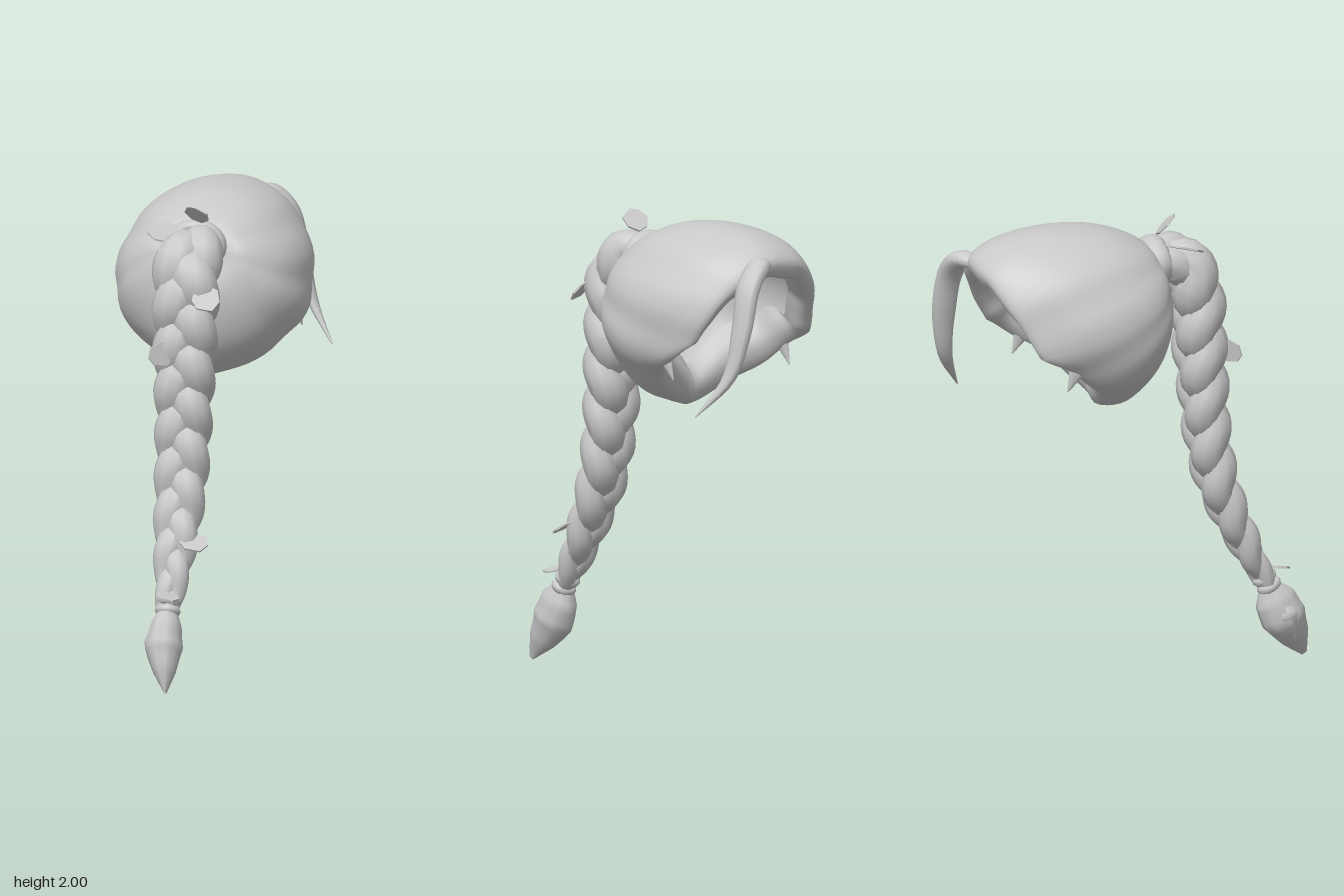
import * as THREE from 'three';

const V = (x, y, z) => new THREE.Vector3(x, y, z);
const hair = new THREE.MeshStandardMaterial({ color: 0xc8c8c8, side: THREE.DoubleSide });
hair.name = 'pale grey hair';

function mesh(name, geometry) {
  const m = new THREE.Mesh(geometry, hair);
  m.name = name;
  return m;
}

// Skin a list of closed rings, each holding the same number of points
function skin(rings) {
  const n = rings[0].length, pos = [], index = [];
  rings.forEach((r) => r.forEach((p) => pos.push(p.x, p.y, p.z)));
  for (let i = 0; i < rings.length - 1; i++) {
    for (let j = 0; j < n; j++) {
      const k = (j + 1) % n;
      const a = i * n + j, b = i * n + k, c = a + n, d = b + n;
      index.push(a, b, c, b, d, c);
    }
  }
  const g = new THREE.BufferGeometry();
  g.setAttribute('position', new THREE.Float32BufferAttribute(pos, 3));
  g.setIndex(index);
  g.computeVertexNormals();
  return g;
}

// Linear lookup in evenly spaced values
function at(list, u) {
  const f = Math.min(u * (list.length - 1), list.length - 1.0001), i = Math.floor(f);
  return THREE.MathUtils.lerp(list[i], list[i + 1], f - i);
}

// Tapered tube: width along the axis "across", depth perpendicular to it
function lock(points, widths, depths, across = V(1, 0, 0), steps = 20, sides = 10) {
  const curve = new THREE.CatmullRomCurve3(points), rings = [];
  for (let i = 0; i <= steps; i++) {
    const u = i / steps, c = curve.getPoint(u), t = curve.getTangent(u);
    const a = across.clone().addScaledVector(t, -across.dot(t)).normalize();
    const b = t.clone().cross(a);
    const ring = [];
    for (let j = 0; j < sides; j++) {
      const q = (j / sides) * Math.PI * 2;
      ring.push(c.clone().addScaledVector(a, Math.cos(q) * at(widths, u))
        .addScaledVector(b, Math.sin(q) * at(depths, u)));
    }
    rings.push(ring);
  }
  return skin(rings);
}

// Swept-back cap: crown, side and nape profiles joined by elliptical rings.
// The last points of each profile roll inward under the hairline.
function cap() {
  const crown = new THREE.CatmullRomCurve3([[1.86, 0.09], [1.92, 0.02], [1.98, -0.13], [2, -0.3],
    [1.985, -0.5], [1.94, -0.65], [1.87, -0.73], [1.8, -0.7], [1.83, -0.6]].map(([y, z]) => V(0, y, z)));
  const side = new THREE.CatmullRomCurve3([[0.08, 1.8, 0.09], [0.21, 1.77, 0.09], [0.335, 1.7, 0.015],
    [0.405, 1.65, -0.12], [0.425, 1.6, -0.28], [0.395, 1.55, -0.43], [0.345, 1.52, -0.54],
    [0.3, 1.54, -0.52], [0.3, 1.59, -0.43]].map((p) => V(...p)));
  const nape = new THREE.CatmullRomCurve3([[1.74, 0.09], [1.62, 0.135], [1.5, 0.13], [1.37, 0.09],
    [1.27, 0.02], [1.2, -0.07], [1.205, -0.17], [1.29, -0.2], [1.37, -0.14]].map(([y, z]) => V(0, y, z)));
  const rows = 32, sides = 72, rings = [];
  for (let i = 0; i <= rows; i++) {
    const u = i / rows, T = crown.getPoint(u), S = side.getPoint(u), B = nape.getPoint(u), ring = [];
    for (let j = 0; j < sides; j++) {
      const q = (j / sides) * Math.PI * 2, c = Math.cos(q), s = Math.sin(q);
      const end = c > 0 ? T : B, w = Math.abs(c), diagonal = Math.abs(s * c) * 2;
      // Combed grooves deepen below the crown, and the hairline lifts over the ears
      const groove = 1 - 0.035 * s * s * Math.pow(Math.abs(Math.sin(q * 4.5 + u * 1.2)), 3);
      const lift = u * u * u * (0.012 * Math.sin(q * 9) + (c < 0 ? 0.12 * diagonal : 0));
      // Narrower toward the forehead, fuller behind the ears
      const full = 1 + u * u * diagonal * (c > 0 ? -0.08 : 0.2);
      ring.push(V(s * S.x * groove * full,
        S.y + (end.y - S.y) * w * groove + lift,
        S.z + (end.z - S.z) * w));
    }
    rings.push(ring);
  }
  return skin(rings);
}

// Three plump woven strands following the hanging line
function braid() {
  const group = new THREE.Group();
  group.name = 'braid';
  const line = new THREE.CatmullRomCurve3([V(0, 1.81, 0.1), V(0, 1.815, 0.2), V(0, 1.72, 0.275), V(0, 1.5, 0.3),
    V(0, 1.25, 0.32), V(0, 1, 0.345), V(0, 0.8, 0.39), V(0, 0.6, 0.475), V(0, 0.45, 0.55), V(0, 0.34, 0.61)]);
  const size = [0.72, 1.05, 1.08, 1.04, 1.02, 0.98, 0.93, 0.9, 0.87, 0.83, 0.76, 0.68, 0.56, 0.4];
  for (let k = 0; k < 3; k++) {
    const pts = [], widths = [], depths = [];
    for (let i = 0; i <= 60; i++) {
      const u = i / 60, s = at(size, u), q = (u * 3.1 + k / 3) * Math.PI * 2;
      const t = line.getTangentAt(u), out = V(1, 0, 0).cross(t).negate();
      pts.push(line.getPointAt(u).add(V(0.054 * s * Math.sin(q), 0, 0))
        .addScaledVector(out, 0.026 * s * Math.sin(2 * q)));
      widths.push(0.088 * s);
      depths.push(0.084 * s);
    }
    group.add(mesh('braidStrand', lock(pts, widths, depths, V(1, 0, 0), 100, 10)));
  }
  return group;
}

// Thin irregular petal facing along the normal
function petal(center, normal, w, h) {
  const s = new THREE.Shape([[-0.5, -0.15], [-0.3, -0.45], [0.25, -0.5], [0.5, -0.1], [0.4, 0.35], [0, 0.5], [-0.42, 0.3]]
    .map(([x, y]) => new THREE.Vector2(x * w, y * h)));
  const m = mesh('petal', new THREE.ExtrudeGeometry(s, { depth: 0.008, bevelEnabled: false }));
  m.position.copy(center);
  m.quaternion.setFromUnitVectors(V(0, 0, 1), normal.normalize());
  return m;
}

export function createModel() {
  const model = new THREE.Group();
  model.name = 'braidedHair';
  model.add(mesh('hairCap', cap()), braid());

  // Band where the braid leaves the cap
  const upper = mesh('upperTie', new THREE.TorusGeometry(0.082, 0.03, 10, 28));
  upper.position.set(0, 1.81, 0.1);
  upper.scale.set(1.2, 1, 1.6);
  upper.rotation.x = -0.15;
  model.add(upper);

  // Double band at the end of the braid
  const down = V(0, -0.85, 0.5).normalize();
  for (const d of [-0.022, 0.022]) {
    const ring = mesh('lowerTie', new THREE.TorusGeometry(0.034, 0.022, 8, 20));
    ring.position.set(0, 0.345, 0.612).addScaledVector(down, d);
    ring.quaternion.setFromUnitVectors(V(0, 0, 1), down);
    model.add(ring);
  }

  // Tuft below the band
  model.add(mesh('tuft', lock(
    [V(0, 0.34, 0.615), V(0, 0.265, 0.65), V(0, 0.18, 0.69), V(0.015, 0.09, 0.745), V(0.03, 0.005, 0.795)],
    [0.035, 0.068, 0.083, 0.05, 0.004], [0.035, 0.092, 0.102, 0.068, 0.014])));
  model.add(mesh('tuftSidePoint', lock(
    [V(-0.01, 0.3, 0.65), V(-0.045, 0.2, 0.69), V(-0.04, 0.09, 0.73)],
    [0.02, 0.042, 0.003], [0.02, 0.055, 0.004])));

  // Long loose lock at the hairline
  model.add(mesh('foreheadLock', lock(
    [V(0.04, 1.85, -0.67), V(0.13, 1.86, -0.73), V(0.21, 1.78, -0.75), V(0.26, 1.6, -0.76), V(0.31, 1.4, -0.735), V(0.42, 1.23, -0.64)],
    [0.03, 0.055, 0.06, 0.055, 0.033, 0.003], [0.025, 0.04, 0.04, 0.032, 0.024, 0.003], V(0, 0, 1), 24)));

  // Short wisps beside the ears
  for (const side of [-1, 1]) {
    model.add(mesh('earWisp', lock(
      [V(side * 0.33, 1.52, -0.35), V(side * 0.34, 1.44, -0.38), V(side * 0.34, 1.36, -0.42)],
      [0.05, 0.035, 0.002], [0.015, 0.012, 0.002], V(0, 0, 1), 10)));
  }

  // Petals tucked into the braid
  model.add(
    petal(V(0.015, 1.955, 0.16), V(0.25, 0.7, -0.7), 0.11, 0.11),
    petal(V(-0.1, 1.875, 0.19), V(0.2, 0.95, 0.25), 0.18, 0.17),
    petal(V(0.11, 1.645, 0.385), V(0.25, 0.7, 0.7), 0.12, 0.125),
    petal(V(-0.08, 1.4, 0.415), V(0.5, 0.1, 0.7), 0.115, 0.1),
    petal(V(0.09, 0.605, 0.515), V(0.2, 0.87, 0.5), 0.12, 0.11),
    petal(V(0.01, 0.395, 0.67), V(0.2, 1, 0.1), 0.1, 0.09));
  return model;
}
